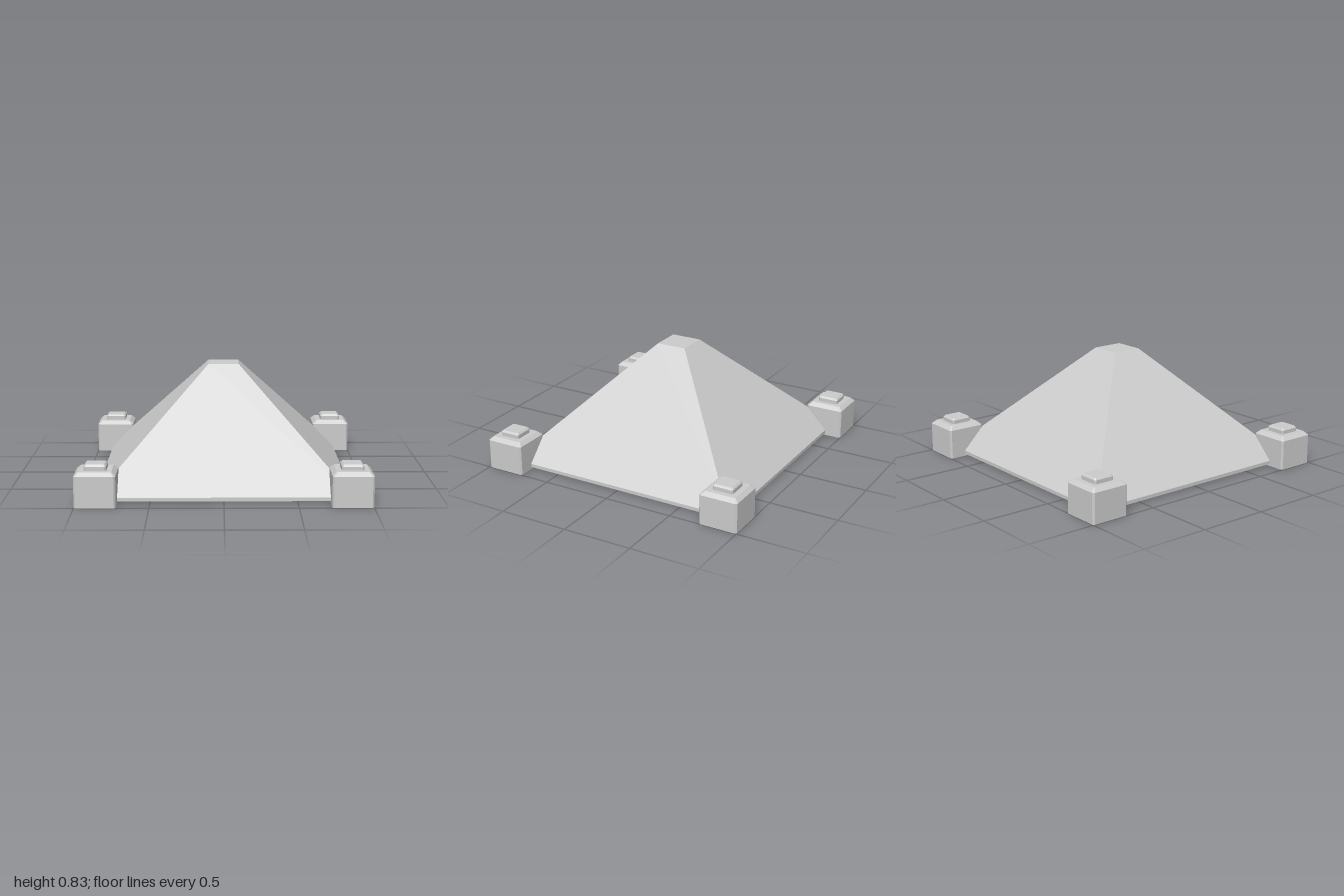
import * as THREE from 'three';

// Square outline of half width h with its corners cut by c, as [x, z] pairs
function cutSquare(h, c) {
  const points = [];
  let pair = [[h - c, h], [h, h - c]];
  for (let k = 0; k < 4; k++) {
    points.push(...pair);
    pair = pair.map(([x, z]) => [z, -x]);
  }
  return points;
}

// Closed solid through cut-square levels [half width, corner cut, y], bottom to top
function stack(levels) {
  const rings = levels.map(([h, c, y]) => cutSquare(h, c).map(([x, z]) => [x, y, z]));
  const pos = [];
  const tri = (...corners) => corners.forEach((p) => pos.push(...p));
  const low = [0, levels[0][2], 0];
  const high = [0, levels[levels.length - 1][2], 0];
  for (let i = 0; i < 8; i++) {
    const j = (i + 1) % 8;
    for (let r = 0; r + 1 < rings.length; r++) {
      const a = rings[r], b = rings[r + 1];
      tri(a[i], a[j], b[j]);
      tri(a[i], b[j], b[i]);
    }
    const top = rings[rings.length - 1];
    tri(low, rings[0][j], rings[0][i]);
    tri(high, top[i], top[j]);
  }
  const geometry = new THREE.BufferGeometry();
  geometry.setAttribute('position', new THREE.Float32BufferAttribute(pos, 3));
  geometry.computeVertexNormals();
  return geometry;
}

// Four-sided revolved shell from [half width, y] points, with flat faces
function squareLathe(profile) {
  const points = profile.map(([h, y]) => new THREE.Vector2(h * Math.SQRT2, y));
  const geometry = new THREE.LatheGeometry(points, 4, Math.PI / 4).toNonIndexed();
  geometry.computeVertexNormals();
  return geometry;
}

export function createModel() {
  const model = new THREE.Group();
  model.name = 'pyramidRoof';
  const stone = new THREE.MeshStandardMaterial({ color: 0xcccccc });
  stone.name = 'light grey';

  // Thin hollow roof with a flat top and an upright rim
  const roof = new THREE.Mesh(squareLathe([
    [0, 0.805], [0.11, 0.805], [0.88, 0.015],
    [0.88, 0.04], [0.11, 0.83], [0, 0.83],
  ]), stone);
  roof.name = 'roof';
  model.add(roof);

  // Corner blocks, each with a small raised cap
  const blockShape = stack([[0.14, 0.012, 0], [0.14, 0.012, 0.214], [0.112, 0.008, 0.24]]);
  const capShape = stack([[0.075, 0.01, 0.235], [0.075, 0.01, 0.267], [0.063, 0.006, 0.28]]);
  for (const sx of [-1, 1]) {
    for (const sz of [-1, 1]) {
      const corner = new THREE.Group();
      corner.name = (sz > 0 ? 'front' : 'back') + (sx > 0 ? 'Left' : 'Right') + 'Corner';
      const block = new THREE.Mesh(blockShape, stone);
      block.name = 'cornerBlock';
      const cap = new THREE.Mesh(capShape, stone);
      cap.name = 'cornerCap';
      corner.add(block, cap);
      corner.position.set(sx * 0.86, 0, sz * 0.86);
      model.add(corner);
    }
  }
  return model;
}
